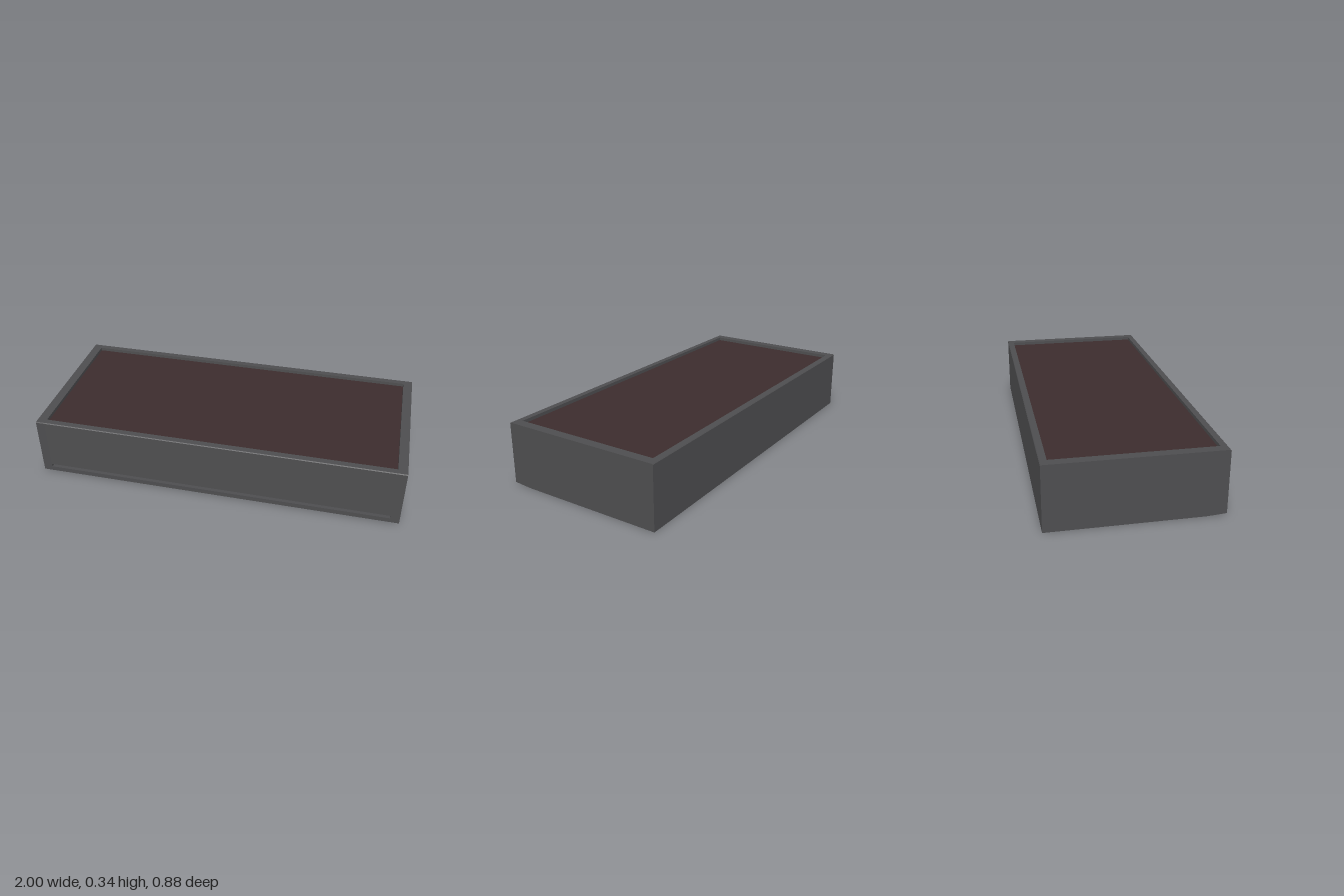
import * as THREE from 'three';

const W = 1, D = 0.44, H = 0.34;      // half width, half depth, height
const SIDE = 0.05, WALL = 0.036;      // wall thicknesses

export function createModel() {
  const group = new THREE.Group();
  const shell = new THREE.MeshStandardMaterial({ color: 0x4e4e50 });
  shell.name = 'charcoal shell';
  const earth = new THREE.MeshStandardMaterial({ color: 0x3c2c2d });
  earth.name = 'dark soil';

  // Extrudes a (z, y) outline along x from x0 to x1
  function slab(name, points, x0, x1) {
    const shape = new THREE.Shape(points.map(([z, y]) => new THREE.Vector2(-z, y)));
    const geo = new THREE.ExtrudeGeometry(shape, { depth: x1 - x0, bevelEnabled: false });
    geo.rotateY(Math.PI / 2).translate(x0, 0, 0);
    const mesh = new THREE.Mesh(geo, shell);
    mesh.name = name;
    group.add(mesh);
  }

  // End walls, with the underside rising slightly toward the front
  const c = 0.004;
  const endOutline = [[-D, 0], [0.34, 0.003], [D, 0.01], [D, H - c], [D - c, H], [c - D, H], [-D, H - c]];
  slab('leftWall', endOutline, W - SIDE, W);
  slab('rightWall', endOutline, -W, SIDE - W);

  // Long walls, floor and the lip under the front drainage slot
  const xi = W - SIDE, zi = D - WALL;
  slab('backWall', [[-D, 0], [-zi, 0], [-zi, H], [c - D, H], [-D, H - c]], -xi, xi);
  slab('frontWall', [[zi, 0.054], [D, 0.054], [D, H - c], [D - c, H], [zi, H]], -xi, xi);
  slab('floorAndFrontLip', [[-zi, 0], [0.34, 0.003], [D, 0.01], [D, 0.036], [-zi, 0.036]], -xi, xi);

  // Soil fill, also seen through the slot
  const soilTop = 0.322, soilBase = 0.036;
  const soil = new THREE.Mesh(
    new THREE.BoxGeometry(2 * xi, soilTop - soilBase, 2 * zi), earth);
  soil.position.y = (soilTop + soilBase) / 2;
  soil.name = 'soil';
  group.add(soil);

  return group;
}
